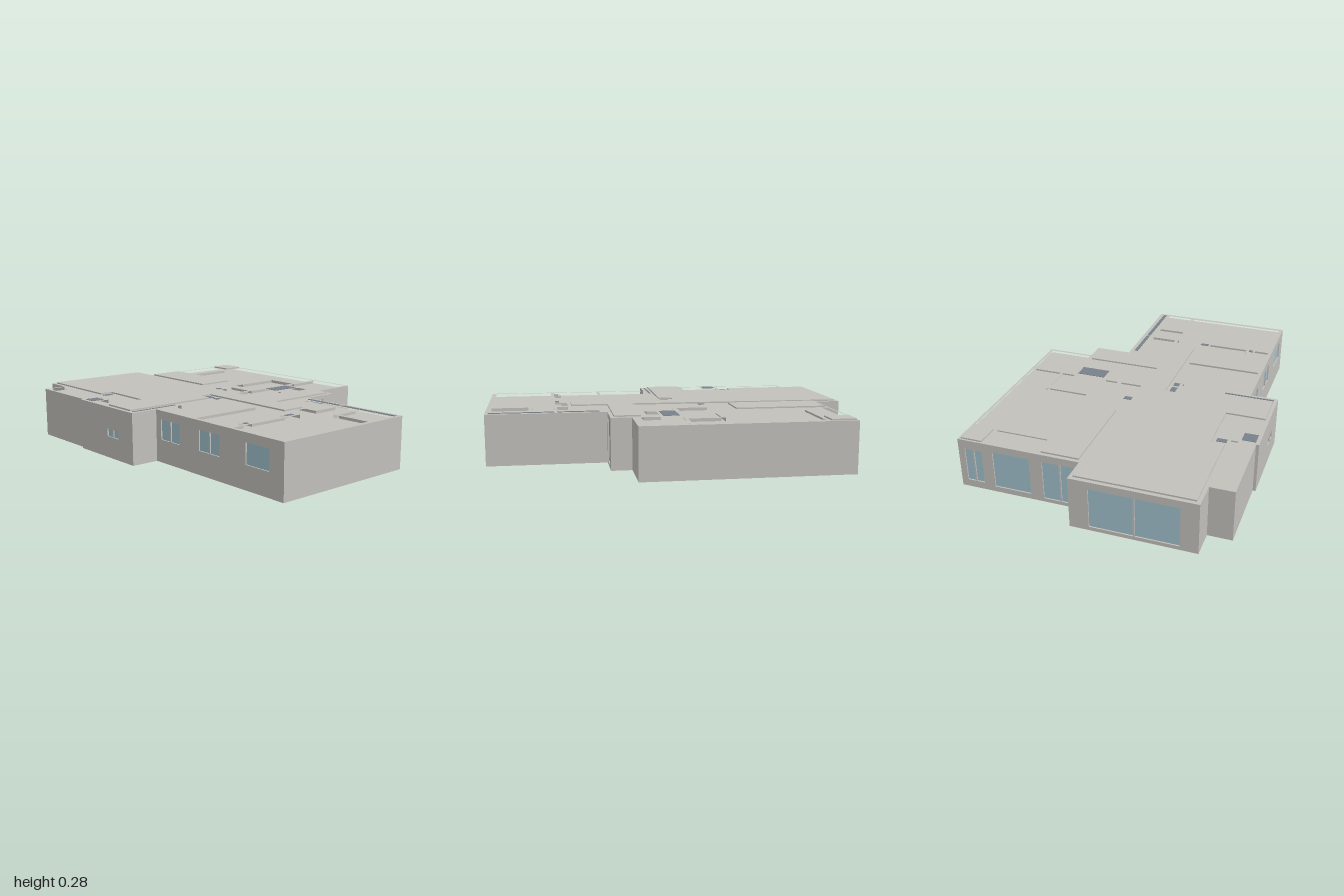
import * as THREE from 'three';

const wall = new THREE.MeshStandardMaterial({ name: 'warm grey wall', color: 0xc2c0bb });
const glass = new THREE.MeshStandardMaterial({ name: 'pale blue glass', color: 0xa0c0cc });
const doorTeal = new THREE.MeshStandardMaterial({ name: 'teal door', color: 0x6a9494 });
const shaftGrey = new THREE.MeshStandardMaterial({ name: 'slate shaft', color: 0x78828a });

const BASE = 0.012, RECESS = 0.255, TOP = 0.275, SLAB = 0.283, SKIN = 0.012;

// Footprint corners [x, z], walked clockwise seen from above
const footprint = [
  [-0.86, -0.72], [0.25, -0.72], [0.25, -0.455], [0.36, -0.455], [0.36, -0.255], [1, -0.255],
  [1, 0.57], [0.065, 0.57], [0.065, 0.72], [-0.43, 0.72], [-0.43, 0.705], [-0.855, 0.705],
  [-0.855, 0.58], [-1, 0.58], [-1, -0.06], [-0.86, -0.06],
];

const rect = (x0, z0, x1, z1) => [[x0, z0], [x1, z0], [x1, z1], [x0, z1]];
const toPoints = (pts) => pts.map(([x, z]) => new THREE.Vector2(x, -z));

// Horizontal slab from a plan outline, with optional holes
function plate(name, pts, y0, y1, material, holes = []) {
  const shape = new THREE.Shape(toPoints(pts));
  holes.forEach((h) => shape.holes.push(new THREE.Path(toPoints(h))));
  const geo = new THREE.ExtrudeGeometry(shape, { depth: y1 - y0, bevelEnabled: false });
  geo.rotateX(-Math.PI / 2).translate(0, y0, 0);
  const mesh = new THREE.Mesh(geo, material);
  mesh.name = name;
  return mesh;
}

// Pull a right-angled outline inwards
function inset(pts, d) {
  const n = pts.length;
  const inward = (a, b) => [-Math.sign(b[1] - a[1]) * d, Math.sign(b[0] - a[0]) * d];
  return pts.map((p, i) => {
    const u = inward(pts[(i + n - 1) % n], p), v = inward(p, pts[(i + 1) % n]);
    return [p[0] + u[0] + v[0], p[1] + u[1] + v[1]];
  });
}

// Sunken ceilings of the rooms
const rooms = [
  [[-0.7, -0.705], [-0.025, -0.705], [-0.025, -0.535], [-0.22, -0.535], [-0.22, -0.29], [-0.7, -0.29]],
  rect(-0.85, -0.57, -0.72, -0.29),
  rect(-0.2, -0.52, -0.025, -0.18),
  rect(-0.005, -0.705, 0.235, -0.46),
  rect(0.1, -0.44, 0.19, -0.28),
  rect(-0.005, -0.26, 0.15, -0.04),
  [[-0.2, -0.155], [-0.025, -0.155], [-0.025, -0.04], [-0.155, -0.04], [-0.155, -0.1], [-0.2, -0.1]],
  rect(0.395, -0.19, 0.62, -0.04),
  [[0.635, -0.19], [0.755, -0.19], [0.755, -0.02], [0.975, -0.02], [0.975, 0.55], [0.645, 0.55],
    [0.645, 0.105], [0.56, 0.105], [0.56, -0.02], [0.635, -0.02]],
  rect(0.775, -0.19, 0.98, -0.04),
  [[0.085, 0.13], [0.345, 0.13], [0.345, 0.55], [0.065, 0.55], [0.065, 0.405], [0.035, 0.405],
    [0.035, 0.18], [0.085, 0.18]],
  [[0.365, 0.13], [0.59, 0.13], [0.59, 0.19], [0.625, 0.19], [0.625, 0.415], [0.59, 0.415],
    [0.59, 0.47], [0.625, 0.47], [0.625, 0.55], [0.365, 0.55]],
  rect(-0.84, 0.58, -0.43, 0.69),
  [[-0.41, 0.51], [-0.2, 0.51], [-0.2, 0.7], [-0.325, 0.7], [-0.325, 0.61], [-0.41, 0.61]],
];

// Slightly raised ceilings
const raised = [
  [[-0.98, -0.04], [0.2, -0.02], [0.2, -0.43], [0.34, -0.43], [0.34, -0.02], [0.54, -0.02], [0.54, 0.11],
    [-0.05, 0.11], [-0.05, 0.18], [0.02, 0.18], [0.02, 0.7], [-0.18, 0.7], [-0.18, 0.49], [-0.48, 0.49],
    [-0.48, 0.56], [-0.98, 0.56]],
  rect(-0.84, -0.27, -0.34, -0.07),
  rect(-0.85, -0.705, -0.72, -0.59),
];

// Service shafts showing on the roof
const shafts = [
  [0, -0.435, 0.085, -0.275], [-0.2, -0.08, -0.17, -0.038], [-0.04, 0.13, 0.015, 0.162],
  [0.035, 0.13, 0.068, 0.162], [0.605, 0.13, 0.628, 0.178], [0.605, 0.435, 0.628, 0.457],
  [0.036, 0.43, 0.046, 0.7], [0.398, -0.232, 0.622, -0.212], [0.638, -0.232, 0.982, -0.212],
  [-0.41, 0.628, -0.34, 0.7], [-0.462, 0.51, -0.432, 0.562],
];

// Openings by footprint edge: [start, end, bottom, top] along the wall's world axis
const openings = {
  3: [[-0.38, -0.28, 0.016, 0.25]],
  6: [[0.105, 0.18, 0.122, 0.228], [0.188, 0.26, 0.122, 0.228], [0.415, 0.49, 0.122, 0.228],
    [0.497, 0.57, 0.122, 0.228], [0.752, 0.907, 0.122, 0.228]],
  8: [[-0.168, -0.12, 0.115, 0.157], [-0.112, -0.066, 0.115, 0.157]],
  13: [[0.04, 0.262, 0.02, 0.235], [0.27, 0.49, 0.02, 0.235]],
  15: [[-0.685, -0.64, 0.04, 0.225], [-0.633, -0.59, 0.04, 0.225], [-0.53, -0.33, 0.03, 0.235],
    [-0.26, -0.17, 0.02, 0.235], [-0.162, -0.07, 0.02, 0.235]],
};

// Outer wall skin along one footprint edge, with panes set back in its openings
function facade(i) {
  const a = footprint[i], b = footprint[(i + 1) % footprint.length];
  const dx = b[0] - a[0], dz = b[1] - a[1], len = Math.hypot(dx, dz);
  const axis = Math.abs(dx) > Math.abs(dz) ? 0 : 1;
  const group = new THREE.Group();
  group.name = 'outerWall' + i;
  const box = (x0, x1, y0, y1) => [[x0, y0], [x1, y0], [x1, y1], [x0, y1]].map((p) => new THREE.Vector2(...p));
  const shape = new THREE.Shape(box(0, len, BASE, RECESS));
  (openings[i] || []).forEach(([s, e, y0, y1]) => {
    const u = [Math.abs(s - b[axis]), Math.abs(e - b[axis])].sort((p, q) => p - q);
    shape.holes.push(new THREE.Path(box(u[0], u[1], y0, y1)));
    const pane = new THREE.Mesh(new THREE.BoxGeometry(u[1] - u[0], y1 - y0, 0.004), i === 3 ? doorTeal : glass);
    pane.position.set((u[0] + u[1]) / 2, (y0 + y1) / 2, 0.003);
    pane.name = i === 3 ? 'entranceDoor' : 'windowPane';
    group.add(pane);
  });
  const skin = new THREE.Mesh(new THREE.ExtrudeGeometry(shape, { depth: SKIN, bevelEnabled: false }), wall);
  skin.name = 'wallSkin';
  group.add(skin);
  group.rotation.y = Math.atan2(dz, -dx);
  group.position.set(b[0] - (dz / len) * SKIN, 0, b[1] + (dx / len) * SKIN);
  return group;
}

export function createModel() {
  const model = new THREE.Group();
  model.name = 'bungalow';
  model.add(plate('floorSlab', footprint, 0, BASE, wall));
  model.add(plate('core', inset(footprint, SKIN), BASE, RECESS, wall));
  model.add(plate('wallTops', footprint, RECESS, TOP, wall, rooms));
  footprint.forEach((_, i) => model.add(facade(i)));
  raised.forEach((r) => model.add(plate('raisedCeiling', r, TOP, SLAB, wall)));
  shafts.forEach((s) => model.add(plate('serviceShaft', rect(...s), TOP, TOP + 0.002, shaftGrey)));
  return model;
}
